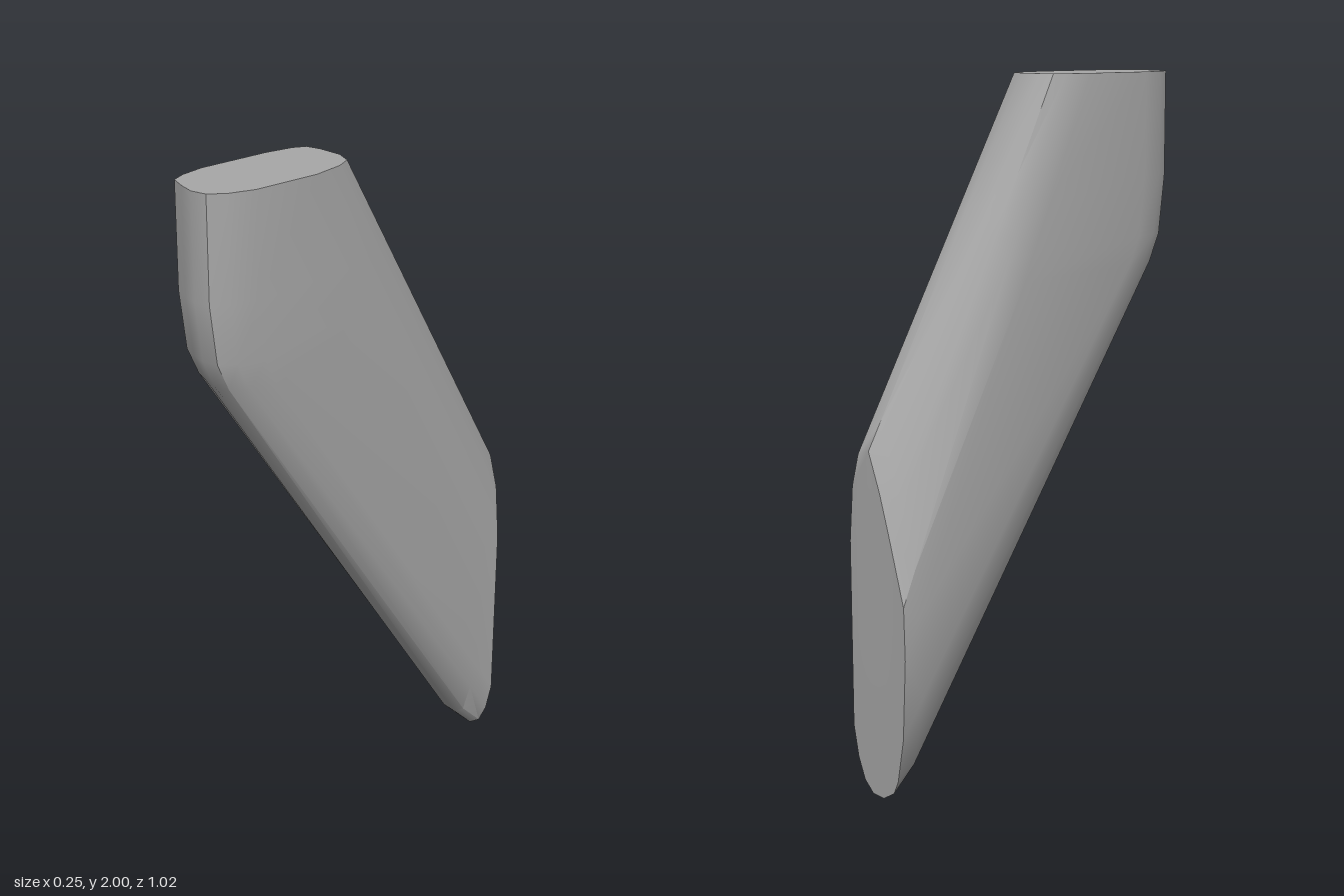
import * as THREE from 'three';
import { toCreasedNormals } from 'three/addons/utils/BufferGeometryUtils.js';

// Outline pairs: x and z on the flat top, x and y on the flat back, 1 = front edge that bends
const OUTLINE = [
  [0.03, 0.03, 0.03, 0.99, 0],
  [0.08, 0.045, 0.08, 0.975, 0],
  [0.105, 0.09, 0.11, 0.88, 0],
  [0.125, 0.18, 0.125, 0.72, 0],
  [0.125, 0.375, 0.122, 0.18, 1],
  [0.105, 0.45, 0.1, 0.09, 1],
  [0.075, 0.495, 0.07, 0.03, 1],
  [0.03, 0.51, 0.03, 0, 1],
  [-0.02, 0.503, -0.02, 0, 1],
  [-0.07, 0.49, -0.07, 0.03, 1],
  [-0.09, 0.45, -0.09, 0.07, 1],
  [-0.105, 0.38, -0.117, 0.2, 1],
  [-0.105, 0.17, -0.13, 0.43, 0],
  [-0.095, 0.09, -0.125, 0.58, 0],
  [-0.08, 0.055, -0.06, 0.77, 0],
  [-0.04, 0.04, -0.02, 0.88, 0],
];

// Path of one outline point from the top face, round the front bend, to the back face
function pathOf([xt, zt, xb, yb, front]) {
  const top = new THREE.Vector3(xt, 2, zt);
  const back = new THREE.Vector3(xb, yb, -0.51);
  const at = (t) => top.clone().lerp(back, t);
  if (!front) return [top, at(0.22), at(0.31), at(0.36), at(0.93), back];
  const tip = Math.abs(xb) < 0.08 ? 0.07 : 0.108;
  return [
    top,
    new THREE.Vector3(xt, 1.7, zt),
    new THREE.Vector3(xt, 1.53, zt - 0.02),
    new THREE.Vector3(xt, 1.45, zt - 0.055),
    new THREE.Vector3(xb, yb + tip, -0.44),
    back,
  ];
}

export function createModel() {
  const group = new THREE.Group();
  group.name = 'slantedStrut';
  const grey = new THREE.MeshStandardMaterial({ color: 0xa8a8a8 });
  grey.name = 'grey';

  const paths = OUTLINE.map(pathOf);
  const n = paths.length;
  const rings = paths[0].length;
  const pos = [];
  const tri = (...points) => points.forEach((p) => pos.push(p.x, p.y, p.z));

  // Lofted walls
  for (let i = 0; i < n; i++) {
    const p = paths[i];
    const q = paths[(i + 1) % n];
    for (let r = 0; r < rings - 1; r++) {
      tri(p[r], q[r], q[r + 1]);
      tri(p[r], q[r + 1], p[r + 1]);
    }
  }
  // Flat top and back ends
  for (let i = 1; i < n - 1; i++) {
    tri(paths[0][0], paths[i + 1][0], paths[i][0]);
    tri(paths[0][rings - 1], paths[i][rings - 1], paths[i + 1][rings - 1]);
  }

  const geometry = new THREE.BufferGeometry();
  geometry.setAttribute('position', new THREE.Float32BufferAttribute(pos, 3));
  const strut = new THREE.Mesh(toCreasedNormals(geometry, 0.6), grey);
  strut.name = 'strut';
  group.add(strut);
  return group;
}
